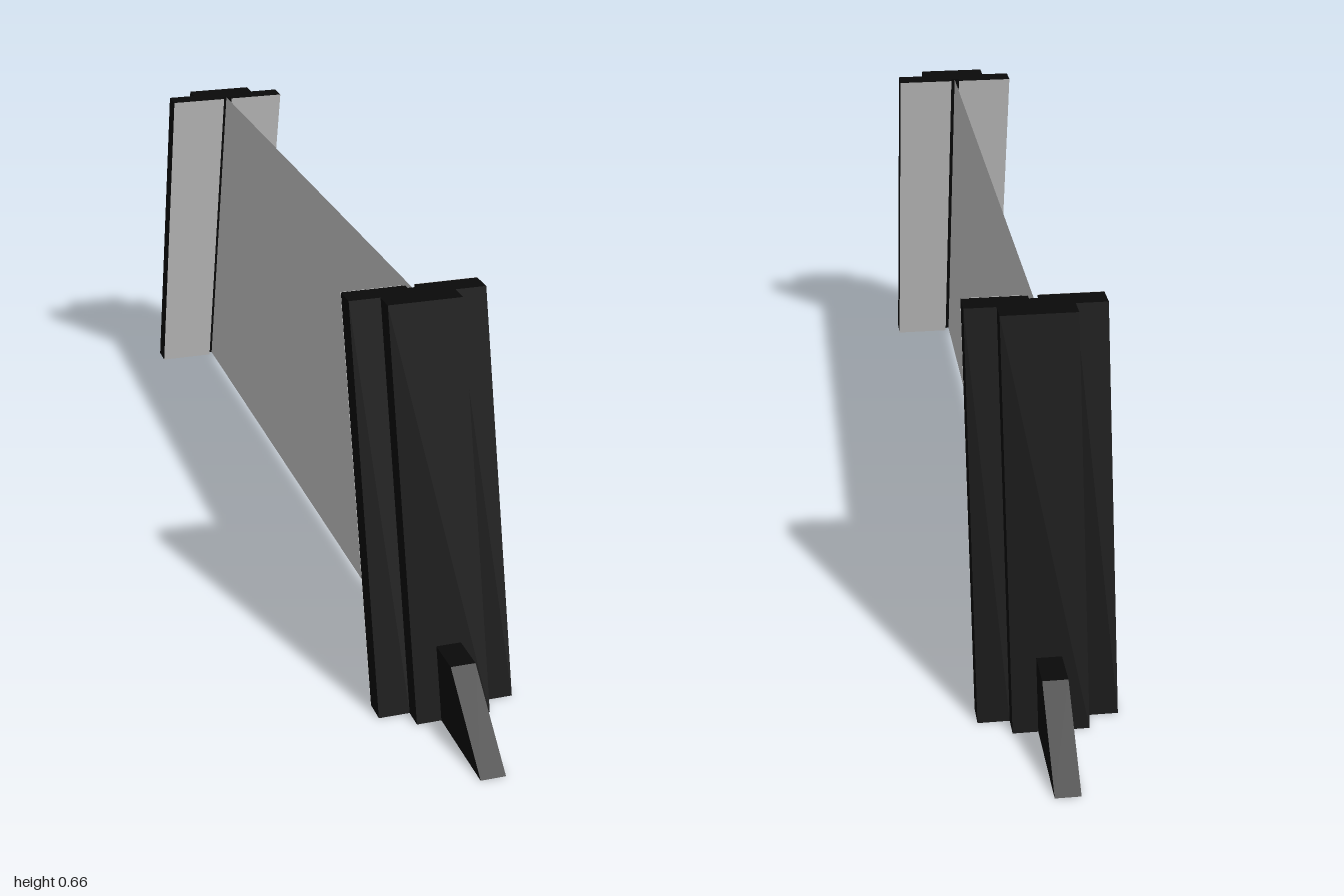
import * as THREE from 'three';

const HEIGHT = 0.66;
const LEAN = 0.268; // inward shift per unit of height
const BASE = 0.752; // inner face of a post at floor level

const black = new THREE.MeshStandardMaterial({ color: 0x0a0a0a, flatShading: true });
const grey = new THREE.MeshStandardMaterial({ color: 0xcccccc, side: THREE.DoubleSide });

const polygon = (points) => new THREE.Shape(points.map(([x, y]) => new THREE.Vector2(x, y)));
const solid = (points, depth) =>
  new THREE.ExtrudeGeometry(polygon(points), { depth, bevelEnabled: false });

function part(name, geometry, material) {
  const mesh = new THREE.Mesh(geometry, material);
  mesh.name = name;
  return mesh;
}

// Shears a geometry at the -z end so that its top tips towards the centre.
function lean(geometry) {
  const p = geometry.attributes.position;
  for (let i = 0; i < p.count; i++) p.setZ(i, p.getZ(i) + LEAN * p.getY(i));
  geometry.computeVertexNormals();
  return geometry;
}

// One end support, built at -z.
function createSupport(name) {
  const support = new THREE.Group();
  support.name = name;

  // Post: wide slab with a slot for the panel and a narrower rib outside
  const half = [
    [0.008, 0.012], [0.008, 0], [0.116, 0], [0.116, 0.04], [0.063, 0.04], [0.063, 0.075],
  ];
  const mirrored = half.map(([x, d]) => [-x, d]).reverse();
  const section = [...half, ...mirrored].map(([x, d]) => [x, d + BASE]);
  support.add(part('post', lean(solid(section, HEIGHT).rotateX(-Math.PI / 2)), black));

  // Grey facing strips on the inner side, left and right of the slot
  for (const side of [-1, 1]) {
    const strip = new THREE.PlaneGeometry(0.108, HEIGHT);
    strip.translate(side * 0.062, HEIGHT / 2, -BASE + 0.0015);
    support.add(part('innerFacing', lean(strip), grey));
  }

  // Foot: thin sloping fin
  const foot = solid([[0.79, 0], [1, 0], [0.86, 0.12], [0.76, 0.12]], 0.042);
  foot.translate(0, 0, -0.021).rotateY(Math.PI / 2);
  support.add(part('foot', foot, black));
  return support;
}

export function createModel() {
  const model = new THREE.Group();
  model.name = 'panelBarrier';

  const back = createSupport('backSupport');
  const front = createSupport('frontSupport');
  front.rotation.y = Math.PI;
  model.add(back, front);

  // Thin trapezoid panel held in the two slots
  const low = BASE + 0.01;
  const high = low - LEAN * HEIGHT;
  const sheet = new THREE.ShapeGeometry(
    polygon([[-low, 0], [low, 0], [high, HEIGHT], [-high, HEIGHT]]));
  model.add(part('panel', sheet.rotateY(Math.PI / 2), grey));
  return model;
}
